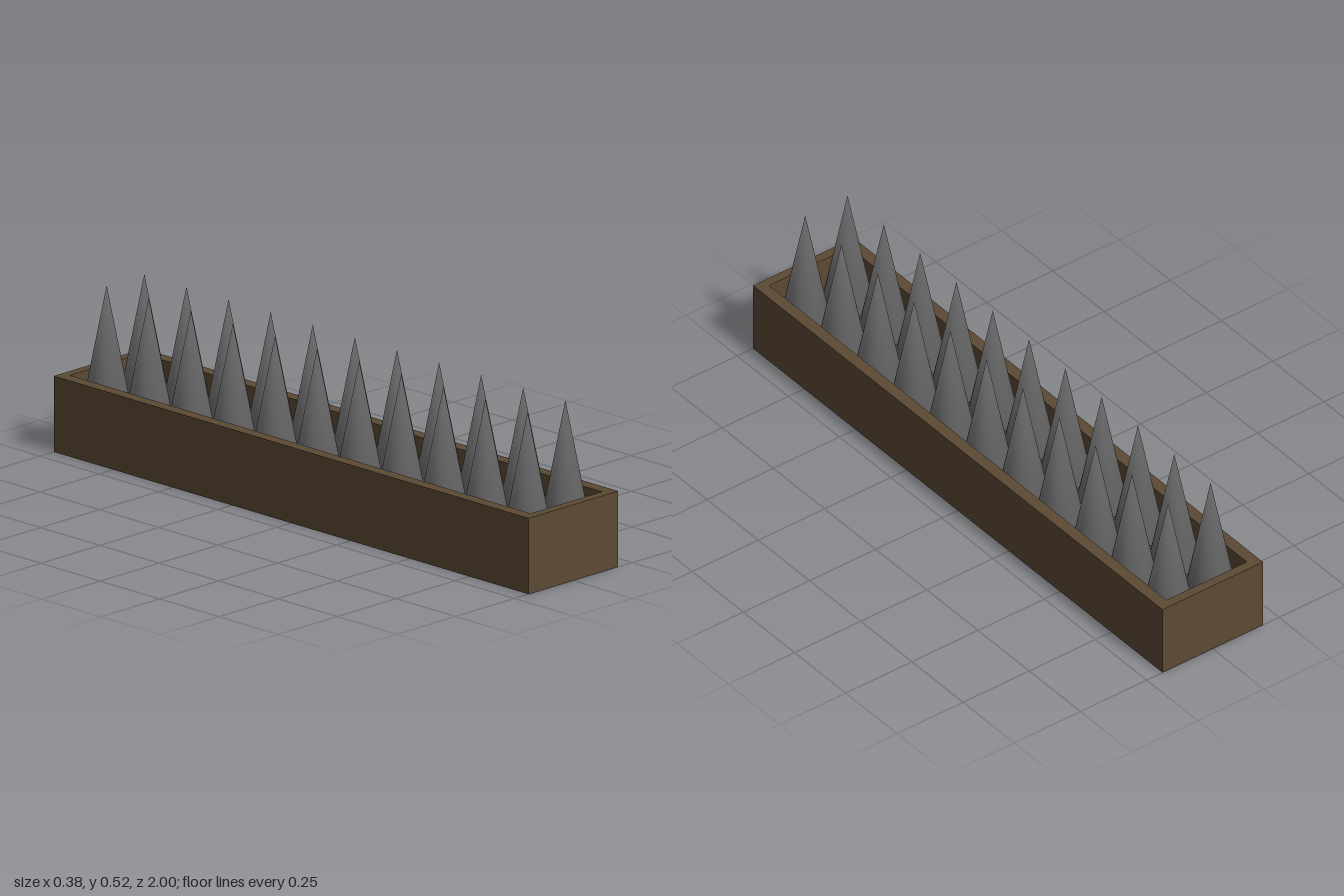
import * as THREE from 'three';
import { mergeVertices } from 'three/addons/utils/BufferGeometryUtils.js';

const HALF_W = 0.19, HALF_L = 1, HEIGHT = 0.238;
const INNER_W = 0.152, INNER_L = 0.97, FLOOR = 0.12;

// Rectangle outline centred on the origin
function rectangle(w, l, Type) {
  return new Type([[-w, -l], [w, -l], [w, l], [-w, l]].map(([x, y]) => new THREE.Vector2(x, y)));
}

export function createModel() {
  const model = new THREE.Group();
  model.name = 'spikeTrap';
  const wood = new THREE.MeshStandardMaterial({ color: 0x5c4a34 });
  const metal = new THREE.MeshStandardMaterial({ color: 0x666666 });

  // Walls of the open tray
  const outline = rectangle(HALF_W, HALF_L, THREE.Shape);
  outline.holes.push(rectangle(INNER_W, INNER_L, THREE.Path));
  const wallGeo = new THREE.ExtrudeGeometry(outline, { depth: HEIGHT, bevelEnabled: false });
  wallGeo.rotateX(-Math.PI / 2);
  const walls = new THREE.Mesh(wallGeo, wood);
  walls.name = 'trayWalls';
  model.add(walls);

  // Recessed floor
  const floor = new THREE.Mesh(new THREE.BoxGeometry(2 * INNER_W, FLOOR, 2 * INNER_L), wood);
  floor.name = 'trayFloor';
  floor.position.y = FLOOR / 2;
  model.add(floor);

  // Spike with normals smoothed over the tip and base edge
  const spikeHeight = 0.522 - FLOOR;
  let spikeGeo = new THREE.ConeGeometry(0.078, spikeHeight, 32);
  spikeGeo.deleteAttribute('normal');
  spikeGeo.deleteAttribute('uv');
  spikeGeo = mergeVertices(spikeGeo);
  spikeGeo.computeVertexNormals();

  // Two rows of eleven spikes
  const spikes = new THREE.Group();
  spikes.name = 'spikes';
  for (const x of [-0.078, 0.082]) {
    for (let i = 0; i < 11; i++) {
      const spike = new THREE.Mesh(spikeGeo, metal);
      spike.name = 'spike';
      spike.position.set(x, FLOOR + spikeHeight / 2, -0.002 + (i - 5) * 0.1773);
      spikes.add(spike);
    }
  }
  model.add(spikes);
  return model;
}
